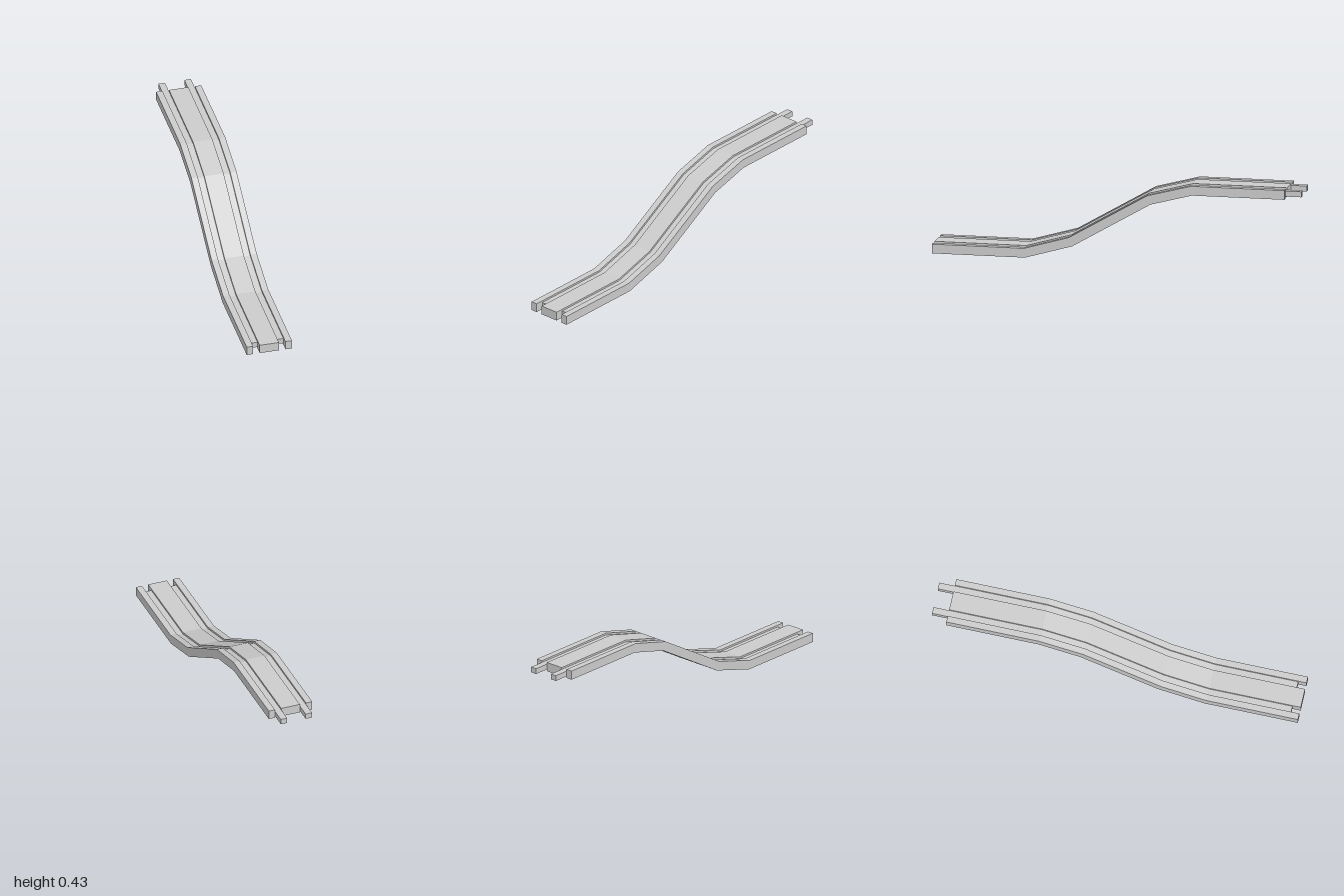
import * as THREE from 'three';

// Side line of the ramp's mid-plane as (z, y), from the low front to the high back
const BENDS = [[0.4975, 0.025], [0.2475, 0.0965], [-0.1775, 0.3435], [-0.41, 0.405]];

// Points of the line shifted sideways by d, with mitred corners
function offsetLine(line, d) {
  const normals = line.slice(1).map((p, i) => {
    const dir = new THREE.Vector2(p[0] - line[i][0], p[1] - line[i][1]).normalize();
    return new THREE.Vector2(dir.y, -dir.x);
  });
  return line.map(([z, y], i) => {
    const a = normals[Math.max(i - 1, 0)];
    const b = normals[Math.min(i, normals.length - 1)];
    const m = a.clone().add(b).normalize();
    return m.multiplyScalar(d / m.dot(a)).add(new THREE.Vector2(z, y));
  });
}

// A bar following the ramp, between two x positions and two z ends
function bar(name, x0, x1, thickness, zFront, zBack, material) {
  const line = [[zFront, 0.025], ...BENDS, [zBack, 0.405]];
  const top = offsetLine(line, thickness / 2);
  const bottom = offsetLine(line, -thickness / 2).reverse();
  const geometry = new THREE.ExtrudeGeometry(new THREE.Shape([...top, ...bottom]), {
    depth: x1 - x0, bevelEnabled: false,
  });
  geometry.rotateY(-Math.PI / 2);
  geometry.translate(x1, 0, 0);
  const mesh = new THREE.Mesh(geometry, material);
  mesh.name = name;
  return mesh;
}

export function createModel() {
  const group = new THREE.Group();
  group.name = 'rampTrack';
  const material = new THREE.MeshStandardMaterial({ color: 0xcccccc, flatShading: true });

  // Wide middle bed
  group.add(bar('centreBed', -0.053, 0.053, 0.05, 1, -0.915, material));

  for (const [side, s] of [['left', 1], ['right', -1]]) {
    const add = (name, inner, outer, ...rest) => group.add(
      bar(side + name, Math.min(s * inner, s * outer), Math.max(s * inner, s * outer), ...rest, material));
    // Thin wheel groove, set back at the front and reaching out as a joining tab at the back
    add('WheelGroove', 0.053, 0.089, 0.03, 0.955, -1);
    // Raised outer rail
    add('OuterRail', 0.089, 0.124, 0.05, 1, -0.915);
  }
  return group;
}
